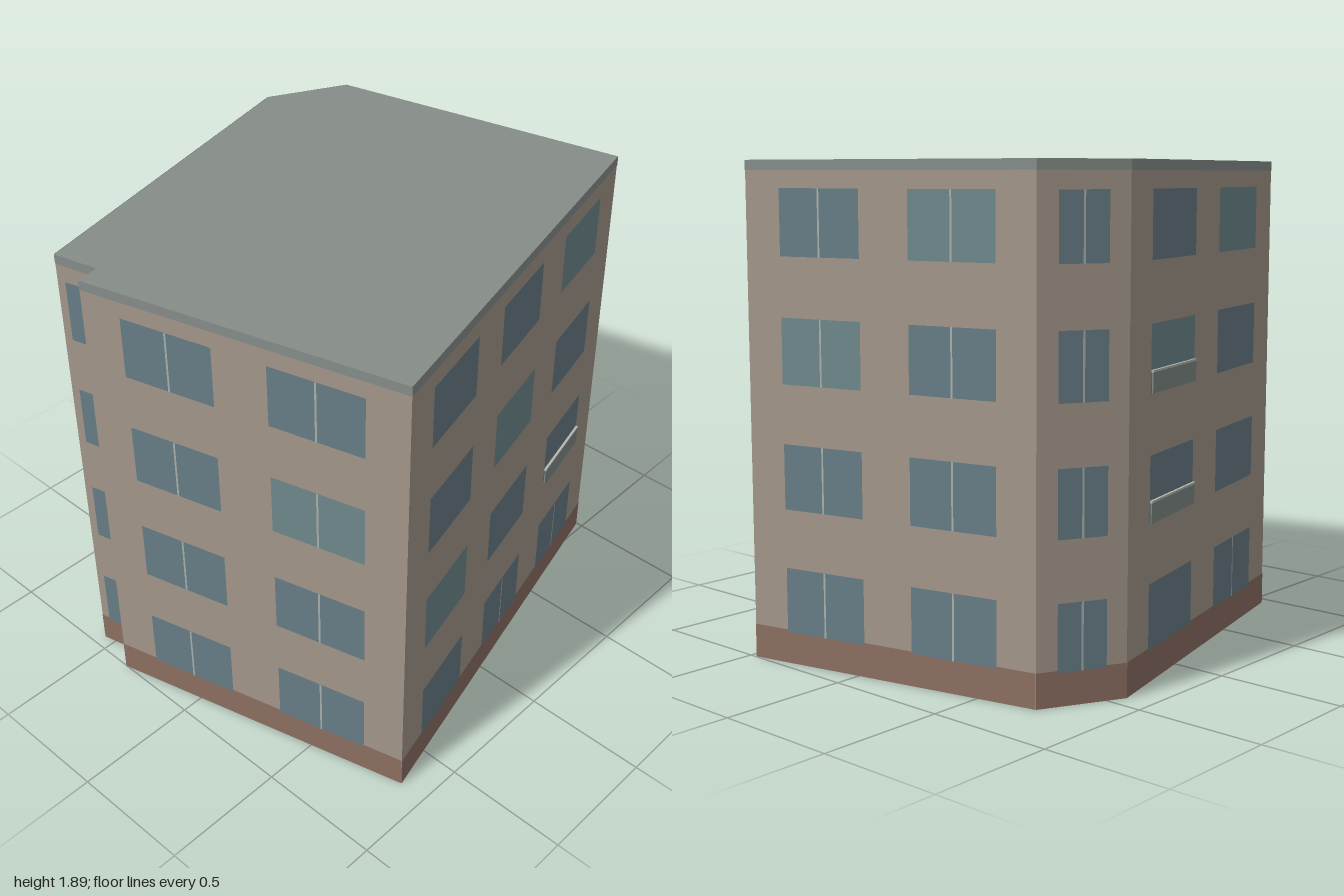
import * as THREE from 'three';

const HEIGHT = 1.89, FLOORS = 4, STOREY = HEIGHT / FLOORS;
const SILL = 0.122, WINDOW_H = 0.248, BASE_H = 0.13, CORNICE_H = 0.038;

// Footprint corners [x, z], running from the front wall round by the right
const PLAN = [[-0.68, 0.885], [0.995, 0.47], [0.737, -0.732], [0.43, -0.89],
  [-0.95, -0.553], [-0.907, -0.373], [-1, -0.358]];

// One entry per wall: window spans as fractions of its length,
// then "column,floor" lists for mullions, pale panes and balconies
const TWO = [[0.127, 0.414], [0.583, 0.873]];
const ALL = 'all';
const WALLS = [
  { name: 'frontWall', spans: [[0.09, 0.284], [0.402, 0.596], [0.714, 0.909]],
    mullions: ['1,0', '2,0'], pale: ['0,1', '1,2', '2,3'], balconies: ['2,1'] },
  { name: 'rightWall', spans: TWO, mullions: ALL, pale: ['0,2', '1,3'], balconies: [] },
  { name: 'chamferWall', spans: [[0.23, 0.77]], mullions: ALL, pale: [], balconies: [] },
  { name: 'backWall', spans: TWO, mullions: ['1,0'], pale: ['1,3', '0,2'], balconies: ['0,1', '0,2'] },
  { name: 'notchSideWall', spans: [[0.2, 0.8]], mullions: [], pale: [], balconies: [] },
  { name: 'notchReturnWall', spans: [], mullions: [], pale: [], balconies: [], plain: true },
  { name: 'leftWall', spans: TWO, mullions: ALL, pale: ['1,2'], balconies: [] },
];

const paint = (color, side = THREE.FrontSide) => new THREE.MeshStandardMaterial({ color, side });

export function createModel() {
  const model = new THREE.Group();
  model.name = 'apartmentBlock';
  const mat = {
    wall: paint(0xa3978a, THREE.DoubleSide),
    base: paint(0x8c6f62),
    roof: paint(0x868d89, THREE.DoubleSide),
    glass: paint(0x677d86),
    paleGlass: paint(0x6f888c),
    mullion: paint(0xa9b1ab),
    balcony: paint(0x7f8a85),
    rail: paint(0xb4b8ae),
  };

  // Flat panel on a wall: x0..x1 along it, y0..y1 up, lifted off by z
  const panel = (parent, name, material, x0, x1, y0, y1, z) => {
    const mesh = new THREE.Mesh(new THREE.PlaneGeometry(x1 - x0, y1 - y0), material);
    mesh.position.set((x0 + x1) / 2, (y0 + y1) / 2, z);
    mesh.name = name;
    parent.add(mesh);
  };
  const bar = (parent, name, material, x0, x1, y0, y1, z0, z1) => {
    const mesh = new THREE.Mesh(new THREE.BoxGeometry(x1 - x0, y1 - y0, z1 - z0), material);
    mesh.position.set((x0 + x1) / 2, (y0 + y1) / 2, (z0 + z1) / 2);
    mesh.name = name;
    parent.add(mesh);
  };

  WALLS.forEach((spec, i) => {
    const [px, pz] = PLAN[i], [qx, qz] = PLAN[(i + 1) % PLAN.length];
    const length = Math.hypot(qx - px, qz - pz);

    // Local +x runs along the wall and +z points outward
    const wall = new THREE.Group();
    wall.name = spec.name;
    wall.position.set(px, 0, pz);
    wall.rotation.y = Math.atan2(pz - qz, qx - px);
    model.add(wall);

    panel(wall, 'wallFace', mat.wall, 0, length, 0, HEIGHT, 0);
    if (!spec.plain) {
      panel(wall, 'base', mat.base, 0, length, 0, BASE_H, 0.0015);
      panel(wall, 'cornice', mat.roof, 0, length, HEIGHT - CORNICE_H, HEIGHT, 0.0015);
    }

    spec.spans.forEach(([a, b], column) => {
      const x0 = a * length, x1 = b * length, mid = (x0 + x1) / 2;
      for (let floor = 0; floor < FLOORS; floor++) {
        const key = `${column},${floor}`;
        const y0 = floor * STOREY + SILL, y1 = y0 + WINDOW_H;
        const glass = spec.pale.includes(key) ? mat.paleGlass : mat.glass;
        panel(wall, 'window', glass, x0, x1, y0, y1, 0.003);
        if (spec.mullions === ALL || spec.mullions.includes(key)) {
          panel(wall, 'mullion', mat.mullion, mid - 0.004, mid + 0.004, y0, y1, 0.0045);
        }
        // Shallow balcony guard with a top rail
        if (spec.balconies.includes(key)) {
          bar(wall, 'balconyPanel', mat.balcony, x0, x1, y0, y0 + 0.076, 0.006, 0.011);
          bar(wall, 'balconyRail', mat.rail, x0, x1, y0 + 0.076, y0 + 0.084, 0.003, 0.013);
        }
      }
    });
  });

  // Flat roof over the footprint; the underside stays open
  const outline = new THREE.Shape(PLAN.map(([x, z]) => new THREE.Vector2(x, -z)));
  const roof = new THREE.Mesh(new THREE.ShapeGeometry(outline), mat.roof);
  roof.rotation.x = -Math.PI / 2;
  roof.position.y = HEIGHT;
  roof.name = 'roof';
  model.add(roof);

  return model;
}
